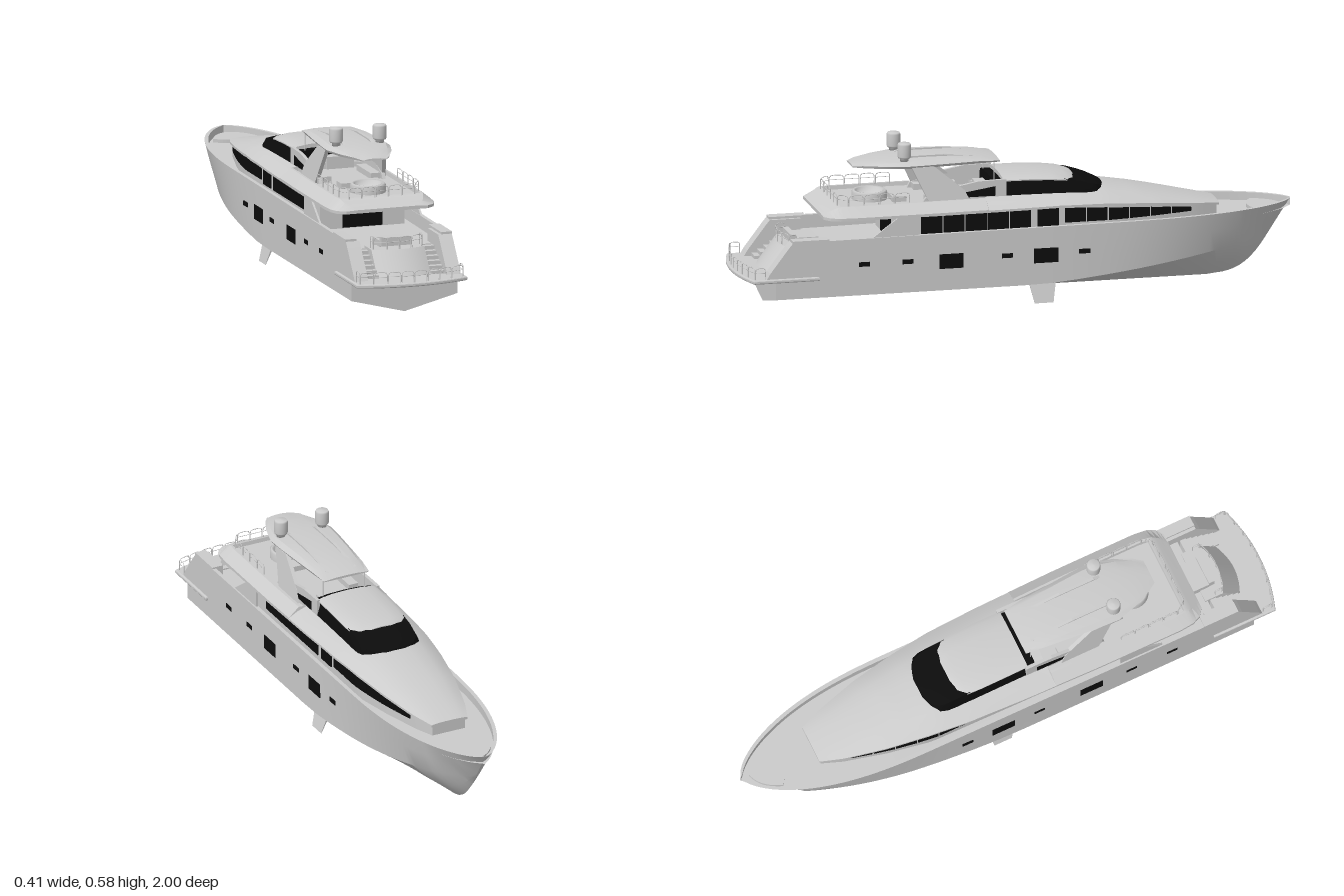
import * as THREE from 'three';
import { toCreasedNormals } from 'three/addons/utils/BufferGeometryUtils.js';

const grey = new THREE.MeshStandardMaterial({ color: 0xcccccc });
const black = new THREE.MeshStandardMaterial({ color: 0x0c0c0c });

// linear interpolation in a table of [z, value], z ascending
function table(t, z) {
  if (z <= t[0][0]) return t[0][1];
  for (let i = 1; i < t.length; i++) {
    const [z0, a] = t[i - 1], [z1, b] = t[i];
    if (z <= z1) return a + (b - a) * (z - z0) / (z1 - z0);
  }
  return t[t.length - 1][1];
}

// symmetric closed loft: rows run from stern to bow, each half section from top centre to bottom centre
function loft(rows, crease = 0.5) {
  const pos = [], n = rows[0].pts.length;
  const rings = rows.map(({ z, pts }) => [
    ...pts.map(([x, y]) => [x, y, z]),
    ...pts.slice().reverse().map(([x, y]) => [-x, y, z])]);
  const quad = (a, b, c, d) => pos.push(...a, ...b, ...c, ...a, ...c, ...d);
  for (let i = 0; i + 1 < rings.length; i++)
    for (let j = 0; j < 2 * n; j++) {
      const k = (j + 1) % (2 * n);
      quad(rings[i][j], rings[i][k], rings[i + 1][k], rings[i + 1][j]);
    }
  const a = rings[0], b = rings[rings.length - 1], m = 2 * n - 1;
  for (let j = 0; j + 1 < n; j++) {
    quad(a[j], a[m - j], a[m - j - 1], a[j + 1]);
    quad(b[j], b[j + 1], b[m - j - 1], b[m - j]);
  }
  const g = new THREE.BufferGeometry();
  g.setAttribute('position', new THREE.Float32BufferAttribute(pos, 3));
  return toCreasedNormals(g, crease);
}

// flat plate from a [z, y] side profile, centred on x
function plate(profile, x, thick) {
  const s = new THREE.Shape(profile.map(([z, y]) => new THREE.Vector2(z, y)));
  const g = new THREE.ExtrudeGeometry(s, { depth: thick, bevelEnabled: false });
  return g.rotateY(-Math.PI / 2).translate(x + thick / 2, 0, 0);
}
const box = (w, h, d, x, y, z) => new THREE.BoxGeometry(w, h, d).translate(x, y, z);
const rect = (z0, z1, y0, y1) => [[z0, y0], [z1, y0], [z1, y1], [z0, y1]];

// move vertices by a rule
function bend(g, rule) {
  const p = g.attributes.position, v = new THREE.Vector3();
  for (let i = 0; i < p.count; i++) {
    rule(v.fromBufferAttribute(p, i));
    p.setXYZ(i, v.x, v.y, v.z);
  }
  g.computeVertexNormals();
  return g;
}

const range = (a, b, n) => Array.from({ length: n + 1 }, (_, i) => a + (b - a) * i / n);
const clamp = THREE.MathUtils.clamp;

// main plan and profile lines
const roofW = z => table([[-0.73, 0.07], [-0.65, 0.1], [-0.5, 0.138], [-0.35, 0.163], [-0.2, 0.18], [0, 0.189],
  [0.3, 0.195], [0.6, 0.195], [0.65, 0.19], [0.68, 0.177], [0.7, 0.15]], z);
const roofEdge = z => table([[-0.73, 0.284], [-0.5, 0.313], [-0.3, 0.33], [-0.15, 0.336]], z);
const cabinW = z => Math.min(0.155, roofW(z) - 0.01);

function hullRow(z) {
  const t = clamp((-z - 0.35) / 0.65, 0, 1);
  const w = 0.195 * Math.pow(1 - Math.pow(t, 2.5), 0.65);
  const sheer = z > 0.75 ? 0.14 : table([[-1, 0.278], [0.3, 0.272], [0.75, 0.27]], z);
  const deck = z > 0.75 ? 0.14 : table([[-1, 0.25], [-0.5, 0.245], [0, 0.23], [0.75, 0.222]], z);
  const keel = table([[-1, 0.278], [-0.89, 0.11], [-0.85, 0.066], [-0.81, 0.04], [-0.77, 0.027], [-0.7, 0.02]], z);
  const chine = Math.max(keel, 0.07 + 0.1 * Math.pow(clamp((-z - 0.05) / 0.88, 0, 1.2), 1.3));
  let cw = w * (1 - 0.45 * Math.pow(clamp(-z, 0, 1), 2));
  if (z < -0.8) cw *= clamp((z + 0.94) / 0.14, 0, 1) ** 0.6;
  const inner = Math.max(0, w - 0.014), low = Math.min(deck, sheer);
  return { z, pts: [[0, low], [inner, low], [inner, sheer], [w, sheer],
    [cw + (w - cw) * 0.6, chine + (sheer - chine) * 0.55], [cw, chine],
    [cw * 0.55, keel + (chine - keel) * (0.55 - 0.15 * t)], [0, keel]] };
}

function roofRow(z) {
  const R = roofW(z), e = roofEdge(z);
  if (z > 0.12) { // open upper deck with sloping coaming
    const k = clamp((0.7 - z) / 0.055, 0, 1), top = 0.348 + 0.03 * k, inn = R - 0.04;
    const floor = z > 0.635 ? top : 0.364;
    return { z, pts: [[0, floor], [inn - 0.01, floor], [inn - 0.008, top], [inn, top], [R, 0.346], [R, 0.336], [0, 0.336]] };
  }
  const c = table([[-0.73, 0.296], [-0.64, 0.317], [-0.555, 0.336], [-0.43, 0.362], [-0.31, 0.381], [-0.2, 0.387]], z), b = e + 0.008;
  const pts = [0, 0.3, 0.6, 0.82, 1].map(f => [f * R, b + (c - b) * (1 - Math.pow(f, 3))]);
  return { z, pts: [...pts, [R, e], [0, e]] };
}

export function createModel() {
  const model = new THREE.Group();
  const add = (name, g, mat = grey) => {
    const m = new THREE.Mesh(g, mat);
    m.name = name;
    model.add(m);
  };
  const pair = (name, make, mat) => [1, -1].forEach(s => add((s > 0 ? 'left ' : 'right ') + name, make(s), mat));

  // hull with deck and bulwarks
  add('hull', loft([0.88, 0.751, 0.749, ...range(0.5, -0.3, 8), ...range(-0.34, -0.96, 31), -0.975, -0.99, -1].map(hullRow), 0.45));
  pair('stabiliser fin', s => bend(plate([[-0.03, 0.07], [-0.125, 0.07], [-0.112, 0], [-0.045, 0]], 0, 0.008),
    v => { v.x = s * 0.16 + v.x * (0.2 + v.y * 11) + s * (0.07 - v.y) * 0.33; }));
  [[0.565, 0.04, 0.016], [0.41, 0.04, 0.016], [0.255, 0.086, 0.052], [0.055, 0.04, 0.016], [-0.083, 0.086, 0.052], [-0.22, 0.04, 0.016]]
    .forEach(([z, d, h]) => pair('hull window', s => box(0.016, h, d, s * 0.1885, h > 0.03 ? 0.173 : 0.18, z), black));

  // swim platform
  const aft = x => 0.99 - 0.035 * (x / 0.2) ** 2;
  const ps = new THREE.Shape([[-0.198, 0.73], ...range(-0.198, 0.198, 16).map(x => [x, aft(x)]), [0.198, 0.73]]
    .map(([x, z]) => new THREE.Vector2(x, -z)));
  add('swim platform', new THREE.ExtrudeGeometry(ps, { depth: 0.006, bevelSize: 0.005, bevelThickness: 0.004, bevelSegments: 2 })
    .rotateX(-Math.PI / 2).translate(0, 0.135, 0));

  // stern: wings, stairs and curved transom
  pair('stern wing', s => plate([[0.71, 0.14], [0.915, 0.14], [0.9, 0.165], [0.835, 0.25], [0.82, 0.268], [0.71, 0.268]], s * 0.1698, 0.05));
  pair('wing cap rail', s => box(0.04, 0.008, 0.13, s * 0.176, 0.272, 0.755));
  for (let i = 0; i < 6; i++)
    pair('stair', s => box(0.048, 0.013 * (i + 1), 0.022, s * 0.121, 0.143 + 0.0065 * (i + 1), 0.875 - i * 0.021));
  add('transom', toCreasedNormals(bend(new THREE.BoxGeometry(0.194, 0.09, 0.12, 16, 4, 1).translate(0, 0.185, 0.8), v => {
    if (v.z > 0.8) v.z = 0.9 - (v.y - 0.14) * 0.75 - 2.5 * v.x * v.x;
  }).toNonIndexed(), 0.5));
  add('cockpit sofa', box(0.11, 0.03, 0.08, 0, 0.237, 0.735));
  add('cockpit sofa back', box(0.11, 0.03, 0.02, 0, 0.25, 0.785));

  // main cabin
  add('main cabin', loft([...range(0.44, -0.2, 4), ...range(-0.23, -0.65, 14), -0.71, -0.722].map(z => {
    const w = cabinW(z), t = roofEdge(z) + 0.004;
    return { z, pts: [[0, t], [w, t], [w, 0.22], [0, 0.22]] };
  })));
  add('aft door', box(0.146, 0.106, 0.006, 0, 0.281, 0.441), black);
  const pane = (z0, z1, y0, y1a, y1b) => pair('cabin window', s => bend(
    plate([[z0, y0], [z1, y0], [z1, y1b], [z0, y1a]], 0, 0.006), v => { v.x += s * (cabinW(v.z) + 0.001); }), black);
  for (let i = 0; i < 5; i++) pane(0.278 - i * 0.079, 0.353 - i * 0.079, 0.265, 0.33, 0.33);
  pane(-0.138, -0.062, 0.265, 0.33, 0.33);
  for (let i = 0; i < 6; i++) {
    const z1 = -0.16 - i * 0.078, z0 = z1 - 0.073;
    pane(z0, z1, 0.276, roofEdge(z0) - 0.008, roofEdge(z1) - 0.008);
  }
  pair('side wing', s => plate([[0.54, 0.265], [0.44, 0.338], [0.37, 0.338], [0.37, 0.265]], s * 0.186, 0.007));

  // roof and upper deck
  add('roof and upper deck', loft([0.7, 0.69, 0.68, 0.665, 0.65, 0.636, 0.634, ...range(0.6, 0.121, 6),
    ...range(0.119, -0.2, 5), ...range(-0.23, -0.73, 20)].map(roofRow), 0.4));

  // pilothouse: wraparound glass under a grey roof
  const house = (rows, base) => loft(rows.map(([z, w, t]) => ({ z, pts: [[0, t], [w * 0.5, t - 0.002], [w * 0.88, t - 0.008],
    [w, base ? Math.min(base + 0.015, t - 0.012) : t - 0.014], [w, base || t - 0.018], [0, base || t - 0.018]] })), 0.6);
  add('windshield glass', house([[0.08, 0.122, 0.428], [-0.17, 0.122, 0.427], [-0.22, 0.121, 0.419], [-0.26, 0.118, 0.407],
    [-0.285, 0.11, 0.399], [-0.305, 0.085, 0.391], [-0.32, 0.045, 0.385]], 0.355), black);
  add('pilothouse roof', house([[0.05, 0.113, 0.442], [-0.05, 0.114, 0.441], [-0.13, 0.113, 0.436], [-0.18, 0.109, 0.43],
    [-0.205, 0.09, 0.426], [-0.215, 0.06, 0.423]]));
  pair('pilothouse side coaming', s => plate([[0.34, 0.364], [0.33, 0.383], [0.25, 0.412], [0.14, 0.432], [0.04, 0.434], [0.04, 0.364]], s * 0.116, 0.012));
  pair('coaming glass', s => plate([[0.25, 0.378], [0.2, 0.394], [0.08, 0.412], [0.08, 0.378]], s * 0.1215, 0.004), black);

  // upper deck furniture
  add('helm console', box(0.1, 0.045, 0.04, 0.03, 0.385, 0.11));
  pair('settee', s => box(0.035, 0.022, 0.15, s * 0.09, 0.374, 0.25));
  add('hot tub', new THREE.LatheGeometry([[0.062, 0.362], [0.062, 0.39], [0.056, 0.396], [0.047, 0.394], [0.043, 0.375], [0, 0.375]]
    .map(([x, y]) => new THREE.Vector2(x, y)), 32).translate(0, 0, 0.5));
  add('sunbed', box(0.15, 0.02, 0.05, 0, 0.373, 0.41));

  // hardtop with legs, poles, ribs and domes
  add('hardtop', loft([[0.57, 0.045, 0.496], [0.54, 0.066, 0.501], [0.48, 0.094, 0.509], [0.4, 0.117, 0.514], [0.33, 0.114, 0.516],
    [0.22, 0.105, 0.515], [0.12, 0.096, 0.508], [0.055, 0.088, 0.497]].map(([z, w, t]) => ({ z, pts: [[0, t], [w * 0.5, t - 0.001],
    [w * 0.85, t - 0.004], [w, Math.min(0.498, t - 0.004)], [w * 0.95, 0.489], [0, 0.49]] })), 0.4));
  pair('hardtop rib', s => plate([[0.43, 0.505], [0.38, 0.52], [0.25, 0.52], [0.09, 0.502]], s * 0.052, 0.01));
  pair('hardtop leg', s => bend(plate([[0.375, 0.492], [0.295, 0.492], [0.19, 0.405], [0.17, 0.364], [0.315, 0.364]], 0, 0.014),
    v => { v.x += s * (0.123 - (v.y - 0.364) * 0.14); }));
  pair('hardtop pole', s => new THREE.CylinderGeometry(0.002, 0.002, 0.07, 8).translate(s * 0.081, 0.46, 0.075));
  pair('radar dome', s => new THREE.LatheGeometry([[0, 0.51], [0.015, 0.51], [0.015, 0.521], [0.021, 0.522], [0.024, 0.528], [0.024, 0.568],
    [0.021, 0.574], [0, 0.576]].map(([x, y]) => new THREE.Vector2(x, y)), 28).translate(s * 0.08, 0, 0.395));

  // foredeck seat
  const seat = new THREE.Shape();
  seat.moveTo(-0.082, 0.875);
  seat.quadraticCurveTo(0, 0.815, 0.082, 0.875);
  seat.quadraticCurveTo(0.055, 0.95, 0, 0.965);
  seat.quadraticCurveTo(-0.055, 0.95, -0.082, 0.875);
  add('foredeck seat', new THREE.ExtrudeGeometry(seat, { depth: 0.018, bevelEnabled: false, curveSegments: 16 })
    .rotateX(-Math.PI / 2).translate(0, 0.243, 0));

  // railings made of rounded hoops between successive [x, z] posts
  const railing = (name, posts, y, h) => {
    for (let i = 0; i + 1 < posts.length; i++) {
      const [x0, z0] = posts[i], [x1, z1] = posts[i + 1];
      const at = (f, k) => new THREE.Vector3(x0 + (x1 - x0) * f, y + h * k, z0 + (z1 - z0) * f);
      const hoop = new THREE.CatmullRomCurve3([[0.05, 0], [0.05, 0.78], [0.1, 0.94], [0.24, 1], [0.76, 1], [0.9, 0.94], [0.95, 0.78], [0.95, 0]]
        .map(p => at(...p)), false, 'centripetal');
      add(name, new THREE.TubeGeometry(hoop, 24, 0.0014, 6));
      add(name + ' bar', new THREE.TubeGeometry(new THREE.LineCurve3(at(0.05, 0.62), at(0.95, 0.62)), 1, 0.001, 5));
    }
  };
  railing('platform railing', [[-0.19, 0.915], ...range(-0.19, 0.19, 8).map(x => [x, aft(x) - 0.006]), [0.19, 0.915]], 0.143, 0.042);
  railing('transom railing', [[-0.09, 0.78], ...range(-0.09, 0.09, 4).map(x => [x, 0.828 - 2.5 * x * x]), [0.09, 0.78]], 0.229, 0.043);
  railing('upper deck railing', [...range(0.39, 0.61, 4).map(z => [-0.147, z]), ...range(-0.122, 0.122, 5).map(x => [x, 0.645]),
    ...range(0.61, 0.39, 4).map(z => [0.147, z])], 0.374, 0.04);
  return model;
}
